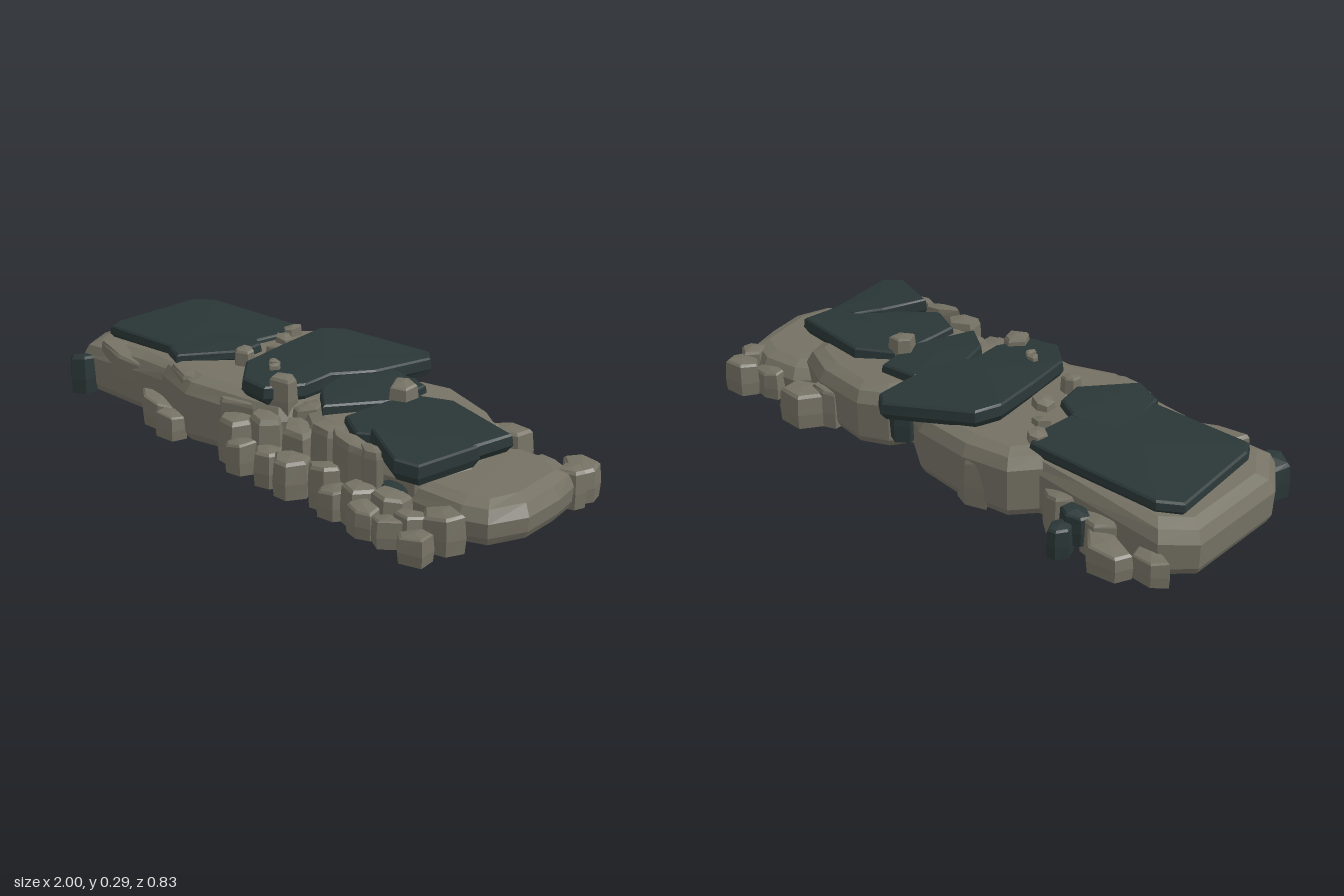
import * as THREE from 'three';

const stone = new THREE.MeshStandardMaterial({ color: 0x757164 });
stone.name = 'warm grey stone';
const slate = new THREE.MeshStandardMaterial({ color: 0x2a3636 });
slate.name = 'dark slate';

// Seeded random numbers for the rubble shapes
let seed = 17;
const rand = (a, b) => {
  seed = (seed * 16807) % 2147483647;
  return a + (b - a) * (seed / 2147483647);
};

// Loft an [x, z] outline through [height, inset] rings; height may be a rule of x, z
function loft(outline, rings) {
  const pts = outline.map(([x, z]) => new THREE.Vector2(x, z));
  if (THREE.ShapeUtils.area(pts) > 0) pts.reverse();
  const n = pts.length;
  const c = pts.reduce((s, p) => s.add(p), new THREE.Vector2()).divideScalar(n);
  const yOf = (h, x, z) => (typeof h === 'function' ? h(x, z) : h);
  const grid = rings.map(([h, inset]) => pts.map((p) => {
    const d = c.clone().sub(p);
    const q = p.clone().addScaledVector(d, Math.min(0.8, inset / d.length()));
    return [q.x, yOf(h, q.x, q.y), q.y];
  }));
  const pos = [];
  const tri = (a, b, d) => pos.push(...a, ...b, ...d);
  const last = rings.length - 1;
  const low = [c.x, yOf(rings[0][0], c.x, c.y), c.y];
  const high = [c.x, yOf(rings[last][0], c.x, c.y) + 0.006, c.y];
  for (let i = 0; i < n; i++) {
    const j = (i + 1) % n;
    for (let k = 0; k < last; k++) {
      tri(grid[k][i], grid[k][j], grid[k + 1][j]);
      tri(grid[k][i], grid[k + 1][j], grid[k + 1][i]);
    }
    tri(grid[0][j], grid[0][i], low);
    tri(grid[last][i], grid[last][j], high);
  }
  const g = new THREE.BufferGeometry();
  g.setAttribute('position', new THREE.Float32BufferAttribute(pos, 3));
  g.computeVertexNormals();
  return g;
}

export function createModel() {
  const model = new THREE.Group();
  model.name = 'rubblePile';
  const add = (name, geo, mat) => {
    const m = new THREE.Mesh(geo, mat);
    m.name = name;
    model.add(m);
  };

  // Big bevelled foundation slabs
  const slab = (name, outline, top) => add(name, loft(outline, [
    [0.004, 0.02], [0.03, 0.005],
    [(x, z) => top(x, z) - 0.055, 0], [(x, z) => top(x, z) - 0.016, 0.022], [top, 0.065],
  ]), stone);
  slab('leftSlab', [[-1, -0.19], [-0.91, -0.28], [-0.6, -0.27], [-0.36, -0.26], [-0.3, 0],
    [-0.34, 0.31], [-0.6, 0.31], [-0.9, 0.33], [-0.99, 0.2]], (x) => 0.198 + (x + 0.6) * 0.07);
  slab('middleSlab', [[-0.44, -0.26], [-0.37, -0.34], [-0.2, -0.36], [0.02, -0.33], [0.17, -0.22],
    [0.2, 0.1], [0.1, 0.24], [-0.05, 0.29], [-0.26, 0.345], [-0.44, 0.31], [-0.48, 0.1]],
  (x) => 0.225 - (x + 0.3) * 0.04);
  slab('rightSlab', [[0.14, -0.2], [0.2, -0.29], [0.3, -0.335], [0.52, -0.3], [0.67, -0.22],
    [0.74, 0], [0.7, 0.2], [0.5, 0.26], [0.25, 0.25], [0.1, 0.16]], (x) => 0.205 - (x - 0.4) * 0.06);
  slab('endSlab', [[0.5, -0.12], [0.68, -0.28], [0.82, -0.295], [0.93, -0.25], [0.97, -0.14],
    [1, 0.02], [0.96, 0.15], [0.88, 0.19], [0.65, 0.21], [0.5, 0.12]], () => 0.133);

  // Dark broken plates lying over the slabs, with nearly sharp rims
  const plate = (name, outline, top, t) => add(name, loft(outline, [
    [(x, z) => top(x, z) - t, 0.02], [(x, z) => top(x, z) - t * 0.6, 0],
    [(x, z) => top(x, z) - 0.006, 0.004], [top, 0.012],
  ]), slate);
  plate('leftPlate', [[-0.93, -0.18], [-0.86, -0.23], [-0.38, -0.25], [-0.35, -0.2],
    [-0.36, 0.02], [-0.5, 0.22], [-0.86, 0.24], [-0.89, 0.19]], (x) => 0.235 + (x + 0.6) * 0.04, 0.048);
  plate('leftShard', [[-0.56, 0.01], [-0.37, -0.04], [-0.29, 0], [-0.27, 0.1],
    [-0.4, 0.28], [-0.5, 0.24]], (x) => 0.25 + (x + 0.4) * 0.08, 0.045);
  plate('middlePlate', [[-0.22, -0.2], [-0.18, -0.28], [0.12, -0.4], [0.17, -0.36], [0.17, -0.12],
    [0.1, 0.02], [0.11, 0.14], [0.05, 0.26], [-0.05, 0.27], [-0.15, 0.18], [-0.19, 0]],
  (x, z) => 0.272 - x * 0.07 - z * 0.03 - Math.max(0, -z - 0.2) * 0.12, 0.065);
  plate('centreShard', [[0.17, -0.2], [0.32, -0.2], [0.36, -0.03], [0.26, 0.19], [0.15, 0.11],
    [0.1, -0.03]], (x) => 0.25 - (x - 0.2) * 0.08, 0.07);
  plate('rightPlate', [[0.33, -0.1], [0.47, -0.18], [0.78, -0.13], [0.77, 0.02], [0.6, 0.12],
    [0.46, 0.23], [0.34, 0.17]], (x, z) => 0.236 - (x - 0.4) * 0.02 - z * 0.02, 0.06);
  plate('rightShard', [[0.6, 0.08], [0.67, 0], [0.77, 0], [0.79, 0.27], [0.72, 0.305],
    [0.52, 0.22]], (x, z) => 0.241 + (z - 0.15) * 0.06 - (x - 0.7) * 0.1, 0.07);

  // Blocky irregular chunks: x, z, half width, half depth, bottom, top
  const chunk = (name, mat, [x, z, w, d, y0, y1]) => {
    const n = rand(0, 1) < 0.5 ? 5 : 6;
    const turn = rand(0, 6);
    const outline = Array.from({ length: n }, (_, i) => {
      const a = turn + ((i + rand(-0.22, 0.22)) / n) * Math.PI * 2;
      const r = rand(1.02, 1.24);
      return [x + Math.cos(a) * w * r, z + Math.sin(a) * d * r];
    });
    const sx = rand(-0.2, 0.2), sz = rand(-0.15, 0.15);
    const tilt = (y) => (px, pz) => y + (px - x) * sx + (pz - z) * sz;
    const h = y1 - y0, b = Math.min(w, d);
    add(name, loft(outline, [[y0, b * 0.08], [y0 + h * 0.4, 0],
      [tilt(y1 - h * 0.12), b * 0.1], [tilt(y1 - 0.006), b * 0.28]]), mat);
  };

  // Loose rocks along the front
  [[-0.68, 0.275, 0.15, 0.045, 0.04, 0.185], [-0.44, 0.32, 0.08, 0.045, 0, 0.1],
    [-0.33, 0.355, 0.055, 0.04, 0, 0.09], [-0.3, 0.28, 0.1, 0.05, 0.07, 0.225],
    [-0.1, 0.265, 0.1, 0.045, 0.05, 0.195],
    [-0.02, 0.31, 0.06, 0.055, 0, 0.16], [0.05, 0.355, 0.055, 0.04, 0, 0.11],
    [0.06, 0.25, 0.055, 0.06, 0, 0.18], [0.18, 0.34, 0.055, 0.055, 0, 0.12],
    [0.22, 0.25, 0.07, 0.055, 0, 0.19], [0.29, 0.34, 0.065, 0.055, 0, 0.13],
    [0.37, 0.245, 0.065, 0.045, 0, 0.23], [0.42, 0.31, 0.06, 0.05, 0, 0.14],
    [0.5, 0.34, 0.055, 0.045, 0, 0.1], [0.49, 0.265, 0.075, 0.035, 0, 0.232],
    [0.59, 0.315, 0.055, 0.055, 0, 0.13], [0.58, 0.265, 0.045, 0.028, 0, 0.232],
    [0.65, 0.355, 0.055, 0.04, 0, 0.1], [0.69, 0.28, 0.06, 0.05, 0, 0.13],
    [0.75, 0.35, 0.055, 0.045, 0, 0.09], [0.8, 0.3, 0.05, 0.045, 0, 0.11],
    [0.87, 0.24, 0.07, 0.055, 0, 0.12], [0.88, 0.36, 0.055, 0.048, 0, 0.09],
  ].forEach((r) => chunk('frontRock', stone, r));

  // Loose rocks along the back
  [[-0.9, -0.295, 0.065, 0.035, 0, 0.09], [-0.77, -0.345, 0.085, 0.05, 0, 0.1],
    [-0.7, -0.29, 0.06, 0.04, 0, 0.13], [-0.53, -0.28, 0.06, 0.035, 0, 0.14],
    [-0.22, -0.33, 0.06, 0.035, 0, 0.17], [0.55, -0.35, 0.075, 0.058, 0, 0.13],
    [0.48, -0.3, 0.06, 0.035, 0, 0.14], [0.78, -0.3, 0.065, 0.035, 0, 0.1],
    [0.87, -0.34, 0.062, 0.052, 0, 0.12], [0.9, -0.27, 0.045, 0.05, 0, 0.13],
  ].forEach((r) => chunk('backRock', stone, r));

  // Rocks and chips resting on top
  [[-0.37, -0.2, 0.03, 0.035, 0.2, 0.26], [-0.32, -0.12, 0.033, 0.025, 0.2, 0.255],
    [-0.25, -0.03, 0.038, 0.03, 0.2, 0.26], [-0.24, 0.11, 0.03, 0.03, 0.18, 0.285],
    [0.07, 0.19, 0.04, 0.045, 0.16, 0.295], [0.35, -0.07, 0.045, 0.045, 0.2, 0.292],
    [-0.07, 0.12, 0.02, 0.02, 0.25, 0.292], [-0.04, 0.14, 0.015, 0.02, 0.25, 0.29],
    [0.17, 0.17, 0.045, 0.045, 0.14, 0.22],
  ].forEach((r) => chunk('topRock', stone, r));

  // Small dark fragments at the edges and wedged underneath
  [[-0.885, 0.34, 0.048, 0.052, 0, 0.135], [-0.612, -0.37, 0.036, 0.042, 0, 0.11],
    [-0.625, -0.315, 0.05, 0.035, 0.03, 0.14], [0.65, 0.24, 0.05, 0.035, 0.02, 0.13],
    [0.16, -0.265, 0.04, 0.04, 0.05, 0.2], [-0.74, -0.24, 0.05, 0.04, 0, 0.06],
    [-0.6, 0.23, 0.045, 0.035, 0, 0.05], [-0.34, 0.3, 0.04, 0.035, 0, 0.05],
    [0.39, 0.24, 0.045, 0.03, 0, 0.05],
  ].forEach((r) => chunk('darkFragment', slate, r));

  return model;
}
